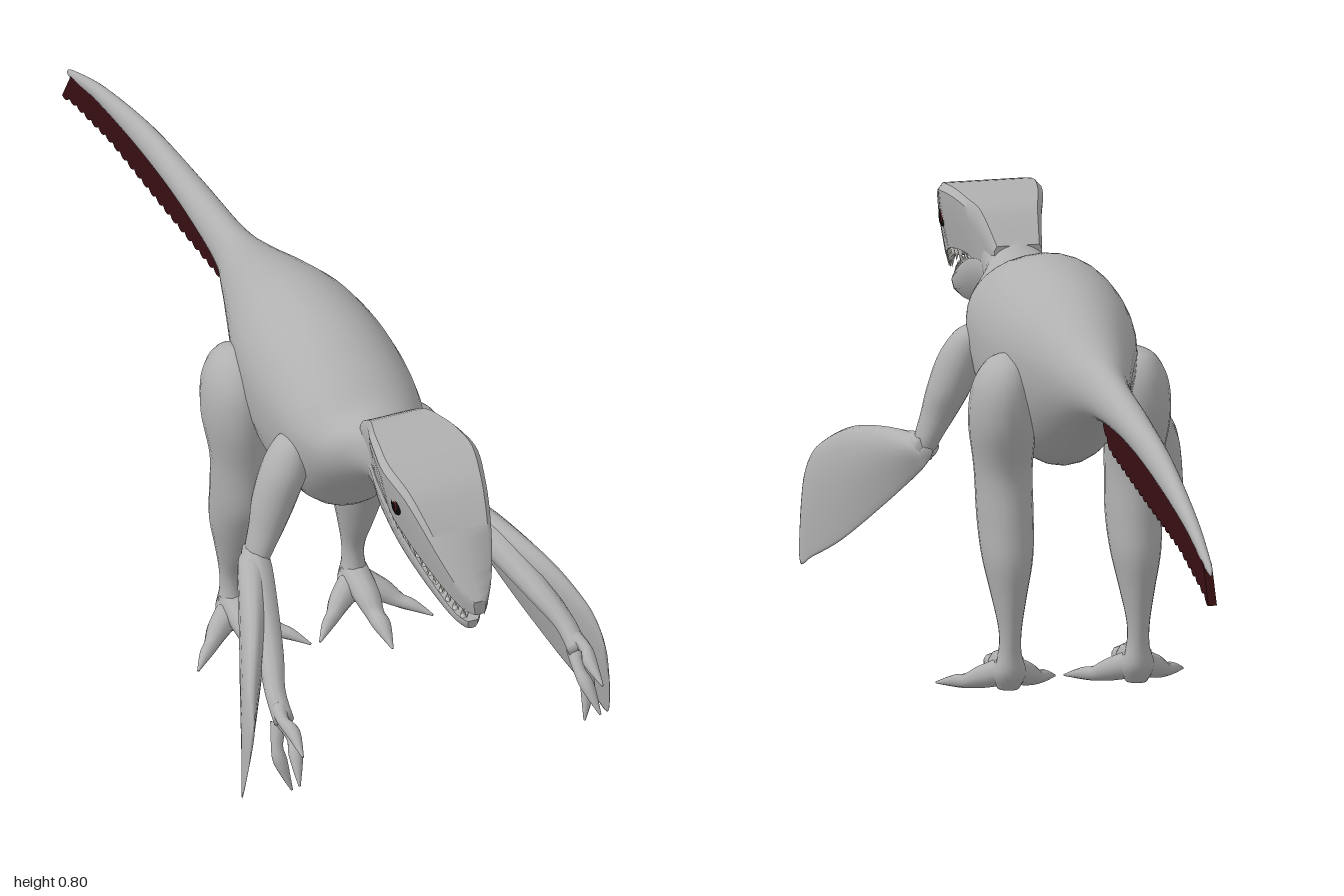
import * as THREE from 'three';
import { toCreasedNormals } from 'three/addons/utils/BufferGeometryUtils.js';

const mat = (name, color) => Object.assign(new THREE.MeshStandardMaterial({ color }), { name });
const V = (x, y, z) => new THREE.Vector3(x, y, z);

// Smoothly resample rows of numbers (Catmull-Rom on every column)
function smooth(rows, n = 5) {
  const out = [];
  const at = i => rows[Math.min(rows.length - 1, Math.max(0, i))];
  for (let i = 0; i < rows.length - 1; i++) {
    for (let k = 0; k < n; k++) {
      const t = k / n;
      out.push(rows[i].map((b, c) => {
        const a = at(i - 1)[c], d = at(i + 1)[c], e = at(i + 2)[c];
        return b + 0.5 * t * (d - a + t * (2 * a - 5 * b + 4 * d - e + t * (3 * (b - d) + e - a)));
      }));
    }
  }
  out.push(rows[rows.length - 1]);
  return out;
}

// Linear lookup of a row by its first column
function rowAt(rows, z) {
  const i = Math.max(1, rows.findIndex(r => r[0] >= z));
  const a = rows[i - 1], b = rows[i], t = (z - a[0]) / (b[0] - a[0]);
  return a.map((v, c) => v + (b[c] - v) * t);
}

// Closed skin over a list of rings; winding is turned outward by signed volume
function loft(rings) {
  const m = rings[0].length, pts = rings.flat(), idx = [];
  for (let i = 0; i < rings.length - 1; i++) {
    for (let j = 0; j < m; j++) {
      const a = i * m + j, b = i * m + (j + 1) % m;
      idx.push(a, b, a + m, b, b + m, a + m);
    }
  }
  const cap = (ring, start, flip) => {
    const c = pts.length;
    pts.push(ring.reduce((s, p) => s.add(p), V(0, 0, 0)).divideScalar(m));
    for (let j = 0; j < m; j++) {
      const a = start + j, b = start + (j + 1) % m;
      idx.push(c, flip ? b : a, flip ? a : b);
    }
  };
  cap(rings[0], 0, true);
  cap(rings[rings.length - 1], (rings.length - 1) * m, false);
  let vol = 0;
  for (let i = 0; i < idx.length; i += 3) {
    vol += pts[idx[i]].dot(V(0, 0, 0).crossVectors(pts[idx[i + 1]], pts[idx[i + 2]]));
  }
  if (vol < 0) idx.reverse();
  const g = new THREE.BufferGeometry().setFromPoints(pts);
  g.setIndex(idx);
  g.computeVertexNormals();
  return g;
}

const circle = (n, f) => Array.from({ length: n }, (_, j) => f(Math.cos(j / n * 2 * Math.PI), Math.sin(j / n * 2 * Math.PI)));

// Limb with level elliptical rings: rows of x, y, z, rx, rz
const limb = (rows, s) => loft(smooth(rows).map(([x, y, z, rx, rz]) =>
  circle(20, (c, d) => V(s * (x + rx * c), y, z + rz * d))));

// Tapered digit with rings across its path: rows of x, y, z, r
function digit(rows, s) {
  const p = smooth(rows, 4);
  return loft(p.map(([x, y, z, r], i) => {
    const a = p[Math.max(0, i - 1)], b = p[Math.min(p.length - 1, i + 1)];
    const t = V(b[0] - a[0], b[1] - a[1], b[2] - a[2]).normalize();
    const u = V(0, 0, 0).crossVectors(t, V(1, 0.01, 0)).normalize();
    const w = V(0, 0, 0).crossVectors(t, u);
    return circle(10, (c, d) => {
      const q = V(x, y, z).addScaledVector(u, r * c).addScaledVector(w, r * d);
      return V(s * q.x, Math.max(0.001, q.y), q.z);
    });
  }));
}

// Skull and jaw rows: z, top, bottom, half width
const SKULL = [[0.53, 0.735, 0.64, 0.045], [0.6, 0.785, 0.655, 0.06], [0.65, 0.797, 0.685, 0.075], [0.7, 0.803, 0.688, 0.086],
  [0.76, 0.8, 0.678, 0.093], [0.83, 0.782, 0.655, 0.08], [0.88, 0.75, 0.64, 0.068], [0.93, 0.705, 0.622, 0.052],
  [0.975, 0.658, 0.607, 0.032], [1, 0.632, 0.604, 0.012]];
const JAW = [[0.54, 0.67, 0.605, 0.045], [0.6, 0.69, 0.615, 0.055], [0.66, 0.682, 0.6, 0.064], [0.74, 0.65, 0.578, 0.062],
  [0.82, 0.618, 0.562, 0.052], [0.9, 0.588, 0.549, 0.037], [0.945, 0.572, 0.544, 0.024], [0.965, 0.566, 0.55, 0.01]];

// Mirrored cross-section; outline holds [share of width, share of depth below the top]
const faceLoft = (rows, outline) => toCreasedNormals(loft(smooth(rows, 4).map(([z, t, b, w]) => {
  const half = outline.map(([x, d]) => V(x * w, t + (b - t) * d, z));
  return [...half, ...half.slice(1, -1).reverse().map(p => V(-p.x, p.y, z))];
})), 0.7);

export function createModel() {
  const root = new THREE.Group();
  const skin = mat('grey skin', 0xb0b0b0), white = mat('tooth white', 0xe6e4de);
  const feather = mat('dark red feather', 0x360e11), black = mat('eye black', 0x0b0a0a), iris = mat('eye red', 0x5a1616);
  const add = (name, geo, m, parent = root) => {
    const mesh = new THREE.Mesh(geo, m);
    mesh.name = name;
    parent.add(mesh);
    return mesh;
  };

  // Body, neck and tail: z, top, bottom, widest height, half width
  const body = [[-0.99, 0.497, 0.487, 0.492, 0.002], [-0.96, 0.513, 0.493, 0.503, 0.007], [-0.83, 0.565, 0.53, 0.55, 0.013],
    [-0.61, 0.625, 0.567, 0.595, 0.021], [-0.4, 0.652, 0.585, 0.62, 0.028], [-0.2, 0.675, 0.58, 0.625, 0.038],
    [-0.1, 0.7, 0.555, 0.63, 0.062], [0, 0.737, 0.5, 0.635, 0.092], [0.1, 0.767, 0.435, 0.635, 0.121], [0.2, 0.78, 0.404, 0.63, 0.136],
    [0.3, 0.777, 0.408, 0.63, 0.138], [0.4, 0.75, 0.45, 0.63, 0.129], [0.48, 0.722, 0.54, 0.64, 0.102], [0.54, 0.742, 0.6, 0.665, 0.062],
    [0.59, 0.778, 0.622, 0.69, 0.054], [0.64, 0.78, 0.635, 0.69, 0.05]];
  add('bodyAndTail', loft(smooth(body).map(([z, t, b, m, w]) =>
    circle(32, (c, s) => V(w * c, m + s * (s > 0 ? t - m : m - b), z)))), skin);

  // Head
  const head = new THREE.Group();
  head.name = 'head';
  root.add(head);
  add('skull', faceLoft(SKULL, [[0, 0], [0.88, 0], [1, 0.1], [0.97, 0.32], [0.88, 0.65], [0.78, 1], [0, 1]]), skin, head);
  add('lowerJaw', faceLoft(JAW, [[0, 0], [0.95, 0], [1, 0.15], [0.88, 0.6], [0.5, 0.97], [0, 1]]), skin, head);

  // Teeth
  for (const s of [1, -1]) {
    for (let i = 0; i < 13; i++) {
      const zu = 0.72 + i * 0.0215, zl = 0.71 + i * 0.02;
      const u = rowAt(SKULL, zu), l = rowAt(JAW, zl);
      const upper = add('upperTooth', new THREE.ConeGeometry(0.007, 0.026, 6), white, head);
      upper.rotation.x = Math.PI;
      upper.position.set(s * Math.max(0.004, u[3] * 0.78 - 0.006), u[2] - 0.01, zu);
      add('lowerTooth', new THREE.ConeGeometry(0.006, 0.022, 6), white, head)
        .position.set(s * Math.max(0.004, l[3] * 0.95 - 0.006), l[1] + 0.008, zl);
    }
  }

  // Tail feathers with a scalloped lower edge
  const lower = [[-1, 0.435], [-0.95, 0.452], [-0.77, 0.487], [-0.5, 0.51], [-0.22, 0.537], [-0.165, 0.575]];
  const fin = new THREE.Shape();
  fin.moveTo(-0.165, 0.6);
  fin.lineTo(-0.4, 0.605);
  fin.lineTo(-0.61, 0.585);
  fin.lineTo(-0.83, 0.545);
  fin.lineTo(-0.96, 0.503);
  fin.lineTo(-1, 0.435);
  const count = 24;
  for (let i = 1; i <= count; i++) {
    const z0 = -1 + (i - 1) / count * 0.835, z1 = -1 + i / count * 0.835;
    fin.quadraticCurveTo((z0 + z1) / 2, rowAt(lower, (z0 + z1) / 2)[1] - 0.012, z1, rowAt(lower, z1 - 1e-6)[1] + 0.004);
  }
  const finGeo = new THREE.ExtrudeGeometry(fin, { depth: 0.016, bevelEnabled: false, curveSegments: 4 });
  finGeo.translate(0, 0, -0.008).rotateY(-Math.PI / 2);
  add('tailFeathers', finGeo, feather);

  for (const s of [1, -1]) {
    const side = s > 0 ? 'left' : 'right';

    // Eye
    const eye = add(side + 'Eye', new THREE.SphereGeometry(0.014, 16, 12), iris, head);
    eye.scale.x = 0.5;
    eye.position.set(s * 0.078, 0.73, 0.79);
    const rim = add(side + 'EyeRim', new THREE.TorusGeometry(0.014, 0.005, 8, 20), black, head);
    rim.rotation.y = Math.PI / 2;
    rim.position.set(s * 0.079, 0.73, 0.79);
    const pupil = add(side + 'Pupil', new THREE.SphereGeometry(0.006, 10, 8), black, head);
    pupil.scale.x = 0.5;
    pupil.position.set(s * 0.084, 0.73, 0.79);

    // Leg
    const leg = new THREE.Group();
    leg.name = side + 'Leg';
    root.add(leg);
    add('thighAndShin', limb([[0.12, 0.642, 0.115, 0.005, 0.008], [0.122, 0.625, 0.115, 0.035, 0.05], [0.125, 0.58, 0.12, 0.056, 0.078],
      [0.126, 0.51, 0.127, 0.061, 0.083], [0.122, 0.42, 0.137, 0.053, 0.068], [0.12, 0.33, 0.13, 0.051, 0.072],
      [0.12, 0.26, 0.112, 0.046, 0.064], [0.12, 0.19, 0.1, 0.032, 0.046], [0.12, 0.13, 0.09, 0.021, 0.029],
      [0.12, 0.085, 0.092, 0.021, 0.027], [0.12, 0.045, 0.1, 0.032, 0.034], [0.12, 0.015, 0.105, 0.02, 0.022]], s), skin, leg);
    add('middleToe', digit([[0.12, 0.065, 0.09, 0.027], [0.12, 0.05, 0.16, 0.024], [0.12, 0.035, 0.2, 0.017],
      [0.12, 0.032, 0.235, 0.016], [0.12, 0.014, 0.283, 0.002]], s), skin, leg);
    for (const k of [1, -1]) {
      add(k > 0 ? 'outerToe' : 'innerToe', digit([[0.12, 0.05, 0.1, 0.028], [0.12 + k * 0.04, 0.033, 0.13, 0.022],
        [0.12 + k * 0.065, 0.02, 0.155, 0.014], [0.12 + k * 0.085, 0.016, 0.175, 0.011], [0.12 + k * 0.111, 0.007, 0.205, 0.002]], s), skin, leg);
    }

    // Arm
    const arm = new THREE.Group();
    arm.name = side + 'Arm';
    root.add(arm);
    add('upperArm', limb([[0.115, 0.632, 0.385, 0.005, 0.008], [0.122, 0.615, 0.387, 0.03, 0.033], [0.138, 0.57, 0.395, 0.043, 0.045],
      [0.16, 0.51, 0.4, 0.041, 0.044], [0.178, 0.46, 0.408, 0.033, 0.037], [0.198, 0.41, 0.415, 0.024, 0.032],
      [0.205, 0.375, 0.418, 0.016, 0.022]], s), skin, arm);
    add('forearm', digit([[0.2, 0.405, 0.395, 0.022], [0.213, 0.39, 0.44, 0.03], [0.238, 0.37, 0.53, 0.03],
      [0.265, 0.34, 0.64, 0.024], [0.285, 0.312, 0.71, 0.019], [0.29, 0.285, 0.765, 0.019]], s), skin, arm);

    // Wing: z, top x, top y, bottom x, bottom y, half thickness
    const wing = [[0.385, 0.205, 0.4, 0.208, 0.37, 0.012], [0.42, 0.213, 0.416, 0.22, 0.34, 0.03], [0.51, 0.245, 0.413, 0.255, 0.268, 0.032],
      [0.62, 0.288, 0.39, 0.308, 0.178, 0.027], [0.7, 0.324, 0.345, 0.345, 0.128, 0.018], [0.735, 0.338, 0.31, 0.36, 0.11, 0.01],
      [0.755, 0.345, 0.275, 0.355, 0.19, 0.003]];
    add('wing', loft(smooth(wing).map(([z, xt, yt, xb, yb, h]) => circle(20, (c, d) => {
      const f = (1 - d) / 2;
      return V(s * (xt + (xb - xt) * f + h * c * (1.25 - f)), yt + (yb - yt) * f, z);
    }))), skin, arm);

    // Clawed fingers
    const fingers = [
      [[0.29, 0.3, 0.74, 0.016], [0.298, 0.298, 0.78, 0.011], [0.292, 0.292, 0.815, 0.013], [0.295, 0.274, 0.868, 0.002]],
      [[0.288, 0.28, 0.75, 0.016], [0.282, 0.26, 0.785, 0.011], [0.287, 0.24, 0.815, 0.013], [0.296, 0.2, 0.855, 0.002]],
      [[0.292, 0.27, 0.745, 0.016], [0.304, 0.235, 0.765, 0.011], [0.302, 0.205, 0.778, 0.013], [0.288, 0.152, 0.798, 0.002]]];
    fingers.forEach((f, i) => add('finger' + (i + 1), digit(f, s), skin, arm));
  }
  return root;
}
